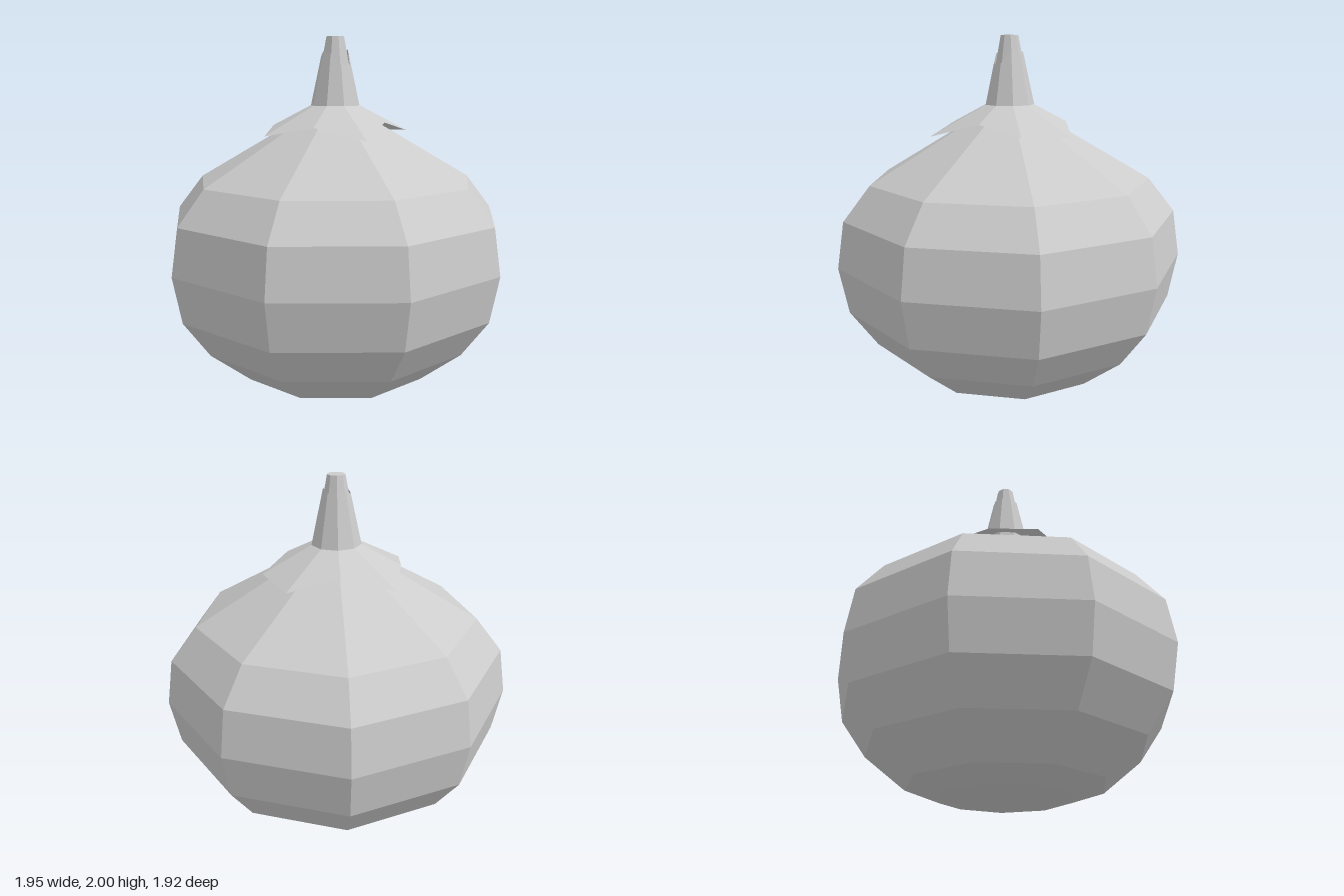
import * as THREE from 'three';

const SIDES = 9;
const material = new THREE.MeshStandardMaterial({ color: 0xcccccc, flatShading: true });
const thinMaterial = new THREE.MeshStandardMaterial({ color: 0xcccccc, flatShading: true, side: THREE.DoubleSide });

// Nine-sided turned solid with one corner pointing straight back
function turned(name, profile, mat = material) {
  const points = profile.map(([r, y]) => new THREE.Vector2(r, y));
  const mesh = new THREE.Mesh(new THREE.LatheGeometry(points, SIDES, Math.PI), mat);
  mesh.name = name;
  return mesh;
}

// Two-ring skin whose free rim (profile row `row`) gets its own radius and height per corner
function ragged(name, profile, row, rim) {
  const mesh = turned(name, profile, thinMaterial);
  const pos = mesh.geometry.attributes.position;
  for (let i = 0; i <= SIDES; i++) {
    const a = Math.PI + (i / SIDES) * Math.PI * 2;
    const [r, y] = rim(i % SIDES);
    pos.setXYZ(i * profile.length + row, r * Math.sin(a), y, r * Math.cos(a));
  }
  mesh.geometry.computeVertexNormals();
  return mesh;
}

export function createModel() {
  const model = new THREE.Group();
  model.name = 'bulb';

  // Round body, flat underneath and tapering to the neck
  model.add(turned('body', [
    [0, 0], [0.19, 0.005], [0.37, 0.03], [0.555, 0.09], [0.79, 0.28], [0.94, 0.49],
    [0.99, 0.75], [0.95, 1.01], [0.8, 1.2], [0.13, 1.59],
  ]));

  // Peeling skin around the neck, sloping down to uneven tips
  const tipRadius = [0.45, 0.36, 0.445, 0.345, 0.46, 0.31, 0.417, 0.445, 0.32];
  model.add(ragged('collar', [[0.45, 1.46], [0.14, 1.62]], 0,
    (i) => [tipRadius[i], 1.62 - (tipRadius[i] - 0.14) * 0.52]));

  // Outer stem skin with a torn upper rim
  const tornHeight = [1.91, 1.9, 1.92, 1.9, 1.845, 1.845, 1.93, 1.91, 1.91];
  model.add(ragged('stemSkin', [[0.14, 1.62], [0.08, 1.9]], 1,
    (i) => [0.14 - (tornHeight[i] - 1.62) * 0.22, tornHeight[i]]));

  // Inner stem, closed on top
  model.add(turned('stem', [[0.125, 1.6], [0.05, 2], [0, 2]]));

  // An odd number of sides leaves the axis slightly in front of the centre
  for (const part of model.children) part.position.z = 0.03;
  return model;
}
